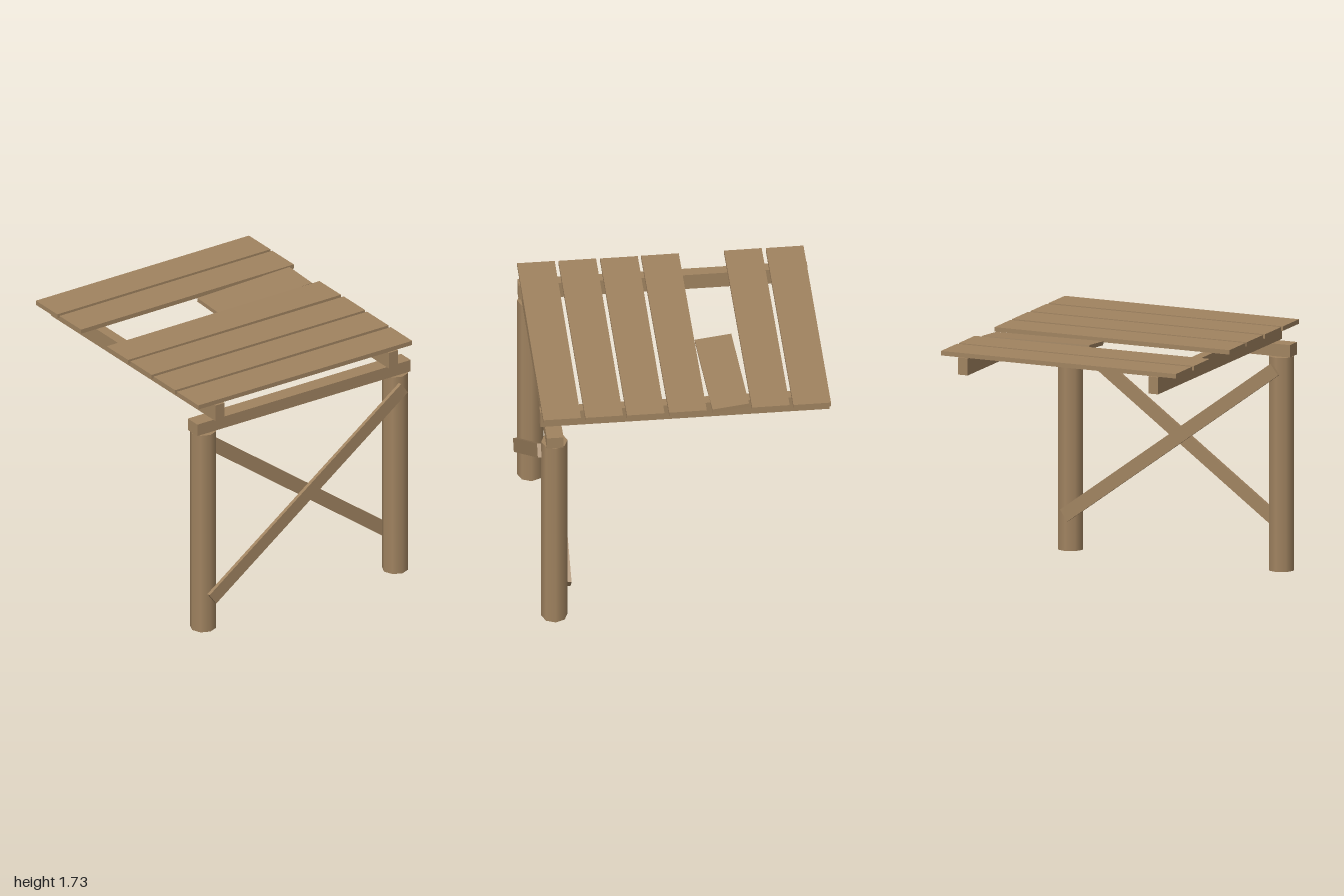
import * as THREE from 'three';

export function createModel() {
  const model = new THREE.Group();
  model.name = 'brokenWoodenPlatform';
  const wood = new THREE.MeshStandardMaterial({ color: 0xa08360 });
  wood.name = 'weathered wood';

  const add = (name, geometry, x, y, z) => {
    const mesh = new THREE.Mesh(geometry, wood);
    mesh.name = name;
    mesh.position.set(x, y, z);
    model.add(mesh);
    return mesh;
  };
  const board = (name, w, h, d, x, y, z) => add(name, new THREE.BoxGeometry(w, h, d), x, y, z);

  // Round posts and the joists above them, mirrored left and right
  for (const [side, s] of [['left', 1], ['right', -1]]) {
    add(side + 'Post', new THREE.CylinderGeometry(0.09, 0.09, 1.485, 8), s * 0.79, 0.7425, 0.884);
    board(side + 'Joist', 0.073, 0.118, 1.97, s * 0.713, 1.637, -0.01);
  }

  // Beam across the post tops
  board('crossBeam', 1.755, 0.086, 0.114, -0.001, 1.532, 0.887);

  // Crossed diagonal braces, one on each face of the posts
  const slope = Math.atan2(1.155, 1.575);
  board('frontBrace', 1.955, 0.095, 0.026, 0, 0.83, 0.986).rotation.z = slope;
  board('backBrace', 1.955, 0.095, 0.026, 0, 0.83, 0.782).rotation.z = -slope;

  // Deck planks: centre x, centre z, slight yaw
  const planks = [
    [0, -0.862, 0.003],
    [-0.001, -0.579, 0.005],
    [-0.002, -0.014, 0.005],
    [0, 0.27, 0],
    [-0.003, 0.553, 0.001],
    [-0.005, 0.837, -0.002],
  ];
  planks.forEach(([x, z, yaw], i) => {
    board('plank' + (i + 1), 1.757, 0.031, 0.256, x, 1.714, z).rotation.y = yaw;
  });

  // Snapped half plank, tilted into the gap
  const broken = board('brokenPlank', 0.786, 0.028, 0.252, 0.445, 1.705, -0.295);
  broken.rotation.set(0.09, 0.051, 0, 'YXZ');

  return model;
}
